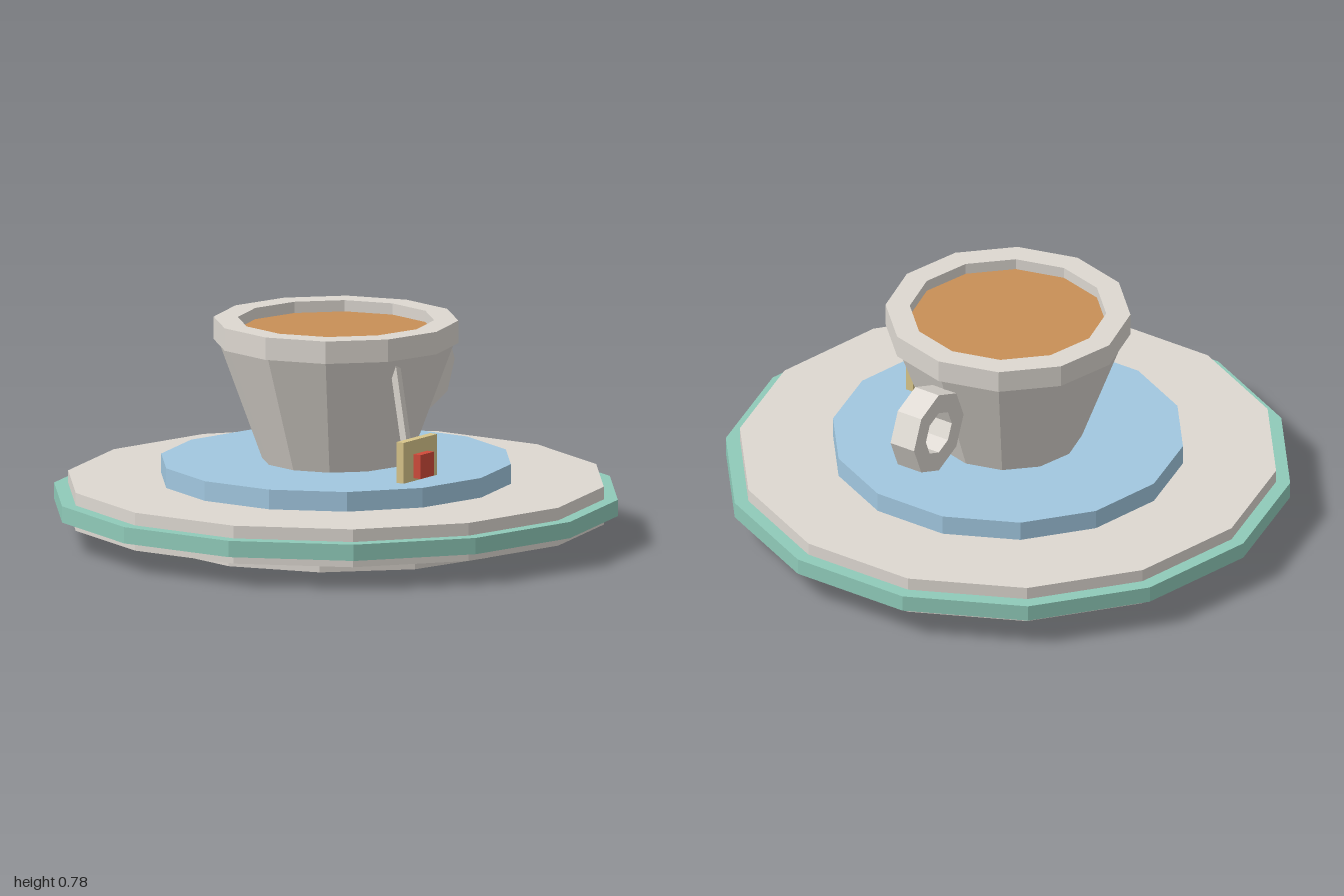
import * as THREE from 'three';

const mat = (name, color, extra) => {
  const m = new THREE.MeshStandardMaterial({ color, flatShading: true, ...extra });
  m.name = name;
  return m;
};

export function createModel() {
  const group = new THREE.Group();
  const ceramic = mat('ceramic', 0xddd8d1);
  const teal = mat('teal', 0x8fcab9);
  const blue = mat('blue', 0xa1c7df);
  const coffee = mat('coffee', 0xc88f56);
  const paper = mat('paper', 0xd8c58a);
  const red = mat('red', 0xd04a3a);

  const add = (name, geometry, material, x = 0, y = 0, z = 0) => {
    const mesh = new THREE.Mesh(geometry, material);
    mesh.name = name;
    mesh.position.set(x, y, z);
    group.add(mesh);
    return mesh;
  };
  // Faceted disc spanning y0..y1
  const disc = (name, rTop, rBottom, y0, y1, sides, material) =>
    add(name, new THREE.CylinderGeometry(rTop, rBottom, y1 - y0, sides), material, 0, (y0 + y1) / 2, 0);
  const box = (name, w, h, d, material, x, y, z) =>
    add(name, new THREE.BoxGeometry(w, h, d), material, x, y, z);

  // Saucer
  disc('saucerFoot', 0.655, 0.655, 0, 0.075, 12, ceramic);
  disc('saucerPlate', 0.95, 0.95, 0.075, 0.21, 14, ceramic);
  disc('saucerBand', 1, 1, 0.107, 0.165, 14, teal);
  disc('saucerCenter', 0.62, 0.62, 0.21, 0.28, 14, blue);

  // Cup body, and a rim ring with a recess for the drink
  disc('cupBody', 0.415, 0.26, 0.28, 0.70, 12, ceramic);
  const rim = [[0.345, 0.70], [0.43, 0.70], [0.43, 0.78], [0.345, 0.78], [0.345, 0.70]];
  add('cupRim', new THREE.LatheGeometry(rim.map(([r, y]) => new THREE.Vector2(r, y)), 12), ceramic);
  disc('coffeeSurface', 0.345, 0.345, 0.70, 0.74, 12, coffee);

  // Octagonal handle ring
  const octagon = (r) => Array.from({ length: 8 }, (_, i) => {
    const a = (i / 8) * Math.PI * 2;
    return new THREE.Vector2(Math.cos(a) * r, Math.sin(a) * r);
  });
  const ring = new THREE.Shape(octagon(0.153));
  ring.holes.push(new THREE.Path(octagon(0.08)));
  add('handle', new THREE.ExtrudeGeometry(ring, { depth: 0.1, bevelEnabled: false }),
    ceramic, 0.5, 0.54, -0.05);

  // Tea tag with its string leaning against the cup
  box('tag', 0.205, 0.155, 0.03, paper, -0.142, 0.348, 0.445);
  box('tagSquare', 0.083, 0.085, 0.03, red, -0.142, 0.333, 0.475);
  const string = box('tagString', 0.026, 0.32, 0.026, ceramic, -0.142, 0.546, 0.374);
  string.rotation.x = -0.17;

  return group;
}
